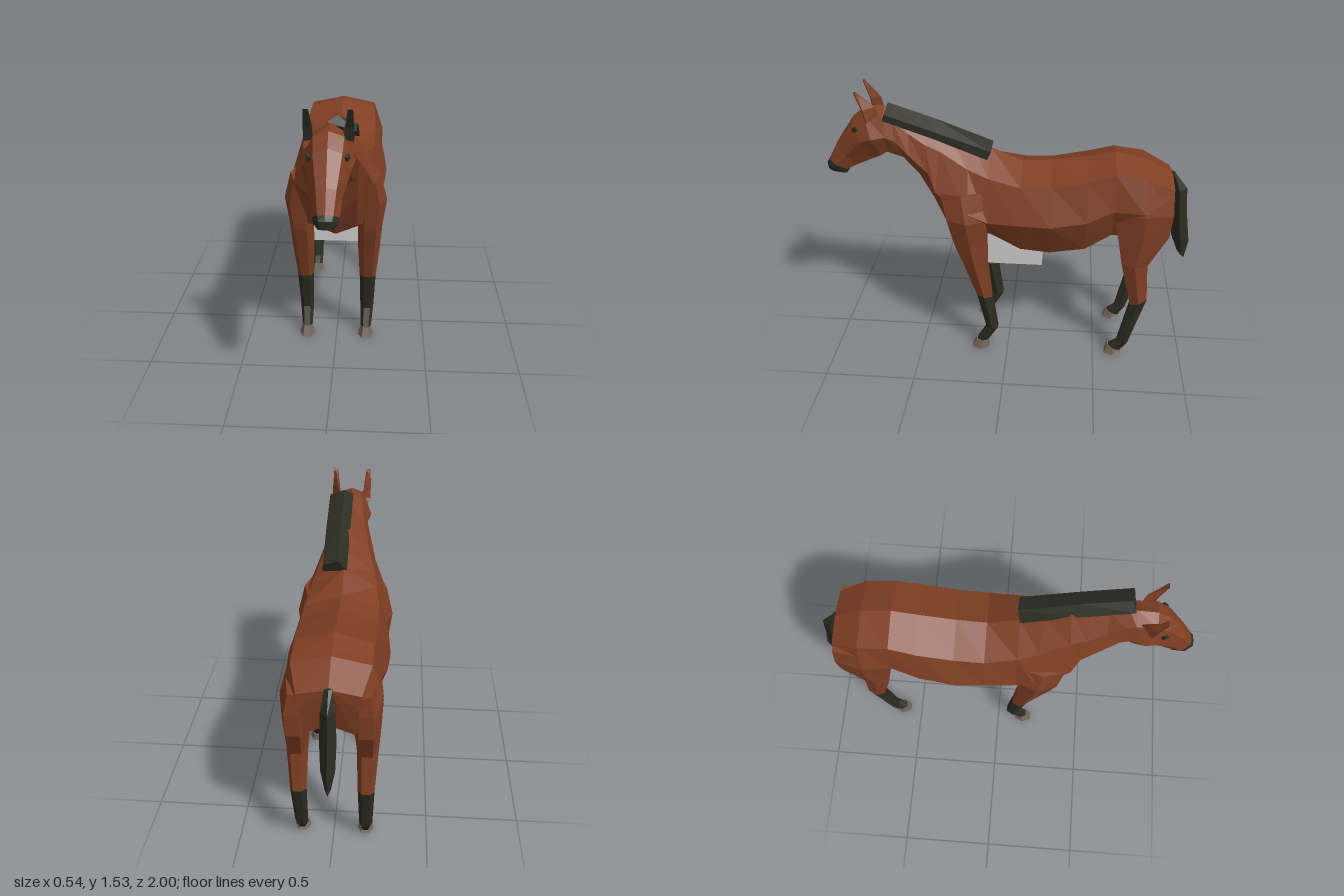
import * as THREE from 'three';

const mat = (name, color) => {
  const m = new THREE.MeshStandardMaterial({ color });
  m.name = name;
  return m;
};

// Faceted closed skin over rings of [x, y, z] points (clockwise seen from the last ring's side)
function loft(rings) {
  const n = rings[0].length, pos = [];
  const tri = (a, b, c) => pos.push(...a, ...b, ...c);
  for (let i = 0; i < rings.length - 1; i++) {
    for (let j = 0; j < n; j++) {
      const k = (j + 1) % n;
      const a = rings[i][j], b = rings[i][k], c = rings[i + 1][j], d = rings[i + 1][k];
      tri(a, c, b);
      tri(b, c, d);
    }
  }
  const first = rings[0], last = rings[rings.length - 1];
  for (let j = 1; j < n - 1; j++) {
    tri(first[0], first[j], first[j + 1]);
    tri(last[0], last[j + 1], last[j]);
  }
  const g = new THREE.BufferGeometry();
  g.setAttribute('position', new THREE.Float32BufferAttribute(pos, 3));
  g.computeVertexNormals();
  return g;
}

// Full ring from a half section running from top centre to bottom centre
const whole = half => [...half, ...half.slice(1, -1).reverse().map(([x, y, z]) => [-x, y, z])];
// Mirror rings across x = 0, keeping the winding
const side = (rings, s) => s > 0 ? rings : rings.map(r => r.map(([x, y, z]) => [-x, y, z]).reverse());
// Six-sided leg ring: height, inner x, outer x, back z, front z, tilt
const legRing = ([y, xi, xo, zb, zf, t = 0]) => {
  const c = (xi + xo) / 2, h = (xo - xi) / 2, zm = (zb + zf) / 2;
  return [[xo, y, zm], [c + h * 0.5, y + t, zb], [c - h * 0.5, y + t, zb],
    [xi, y, zm], [c - h * 0.5, y - t, zf], [c + h * 0.5, y - t, zf]];
};

export function createModel() {
  const coat = mat('chestnut coat', 0x803f24);
  const dark = mat('dark hair', 0x2b2c21);
  const horn = mat('hoof horn', 0x74675a);
  const grey = mat('light grey', 0xcccccc);
  const model = new THREE.Group();
  model.name = 'horse';
  const add = (name, geometry, material, parent = model) => {
    const m = new THREE.Mesh(geometry, material);
    m.name = name;
    parent.add(m);
    return m;
  };

  // Torso sections at constant z: z, top y, back x/y, flank x/y, lower x/y, bottom y
  const torso = [
    [-0.72, 1.18, 0.19, 1.14, 0.245, 0.97, 0.19, 0.80, 0.78],
    [-0.56, 1.21, 0.19, 1.16, 0.23, 0.97, 0.17, 0.80, 0.755],
    [-0.42, 1.18, 0.20, 1.12, 0.255, 0.91, 0.18, 0.71, 0.67],
    [-0.23, 1.15, 0.20, 1.08, 0.27, 0.88, 0.17, 0.67, 0.61],
    [-0.07, 1.14, 0.20, 1.075, 0.26, 0.88, 0.17, 0.685, 0.62],
    [0.10, 1.21, 0.18, 1.11, 0.245, 0.88, 0.16, 0.77, 0.65],
  ].map(([z, t, bx, by, fx, fy, lx, ly, b]) =>
    [[0, t, z], [bx, by, z], [fx, fy, z], [lx, ly, z], [0, b, z]]);
  const rump = [[0, 1.10, -0.87], [0.15, 1.07, -0.87], [0.18, 0.95, -0.865], [0.12, 0.83, -0.84], [0, 0.86, -0.82]];
  // Chest and neck
  const neck = [
    [[0, 1.26, 0.21], [0.16, 1.15, 0.21], [0.255, 0.93, 0.20], [0.17, 0.75, 0.24], [0, 0.68, 0.24]],
    [[0, 1.33, 0.35], [0.12, 1.23, 0.36], [0.20, 1.03, 0.38], [0.12, 0.77, 0.32], [0, 0.71, 0.29]],
    [[0, 1.36, 0.44], [0.11, 1.26, 0.44], [0.16, 1.12, 0.42], [0.12, 0.96, 0.40], [0, 0.83, 0.39]],
    [[0, 1.39, 0.53], [0.085, 1.31, 0.53], [0.13, 1.20, 0.52], [0.10, 1.08, 0.47], [0, 0.99, 0.43]],
    [[0, 1.425, 0.62], [0.07, 1.37, 0.61], [0.105, 1.27, 0.60], [0.08, 1.17, 0.56], [0, 1.12, 0.52]],
  ];
  // Head from poll to nose
  const lip = [[0, 1.125, 0.985], [0.035, 1.12, 0.98], [0.06, 1.095, 0.94], [0.045, 1.07, 0.89], [0, 1.07, 0.88]];
  const head = [
    [[0, 1.43, 0.66], [0.07, 1.39, 0.66], [0.105, 1.29, 0.65], [0.07, 1.195, 0.65], [0, 1.19, 0.65]],
    [[0, 1.425, 0.76], [0.07, 1.40, 0.76], [0.12, 1.28, 0.72], [0.07, 1.17, 0.69], [0, 1.165, 0.69]],
    [[0, 1.37, 0.83], [0.065, 1.345, 0.83], [0.105, 1.26, 0.78], [0.06, 1.15, 0.73], [0, 1.145, 0.73]],
    [[0, 1.225, 0.93], [0.045, 1.215, 0.925], [0.068, 1.16, 0.88], [0.045, 1.10, 0.83], [0, 1.10, 0.83]],
    lip,
  ];
  add('body', loft([rump, ...torso, ...neck, ...head].map(whole)), coat);
  add('muzzle', loft([lip,
    [[0, 1.10, 1.0], [0.03, 1.10, 0.998], [0.055, 1.075, 0.96], [0.04, 1.045, 0.895], [0, 1.045, 0.89]],
    [[0, 1.06, 1.0], [0.025, 1.06, 0.995], [0.035, 1.05, 0.97], [0.03, 1.04, 0.92], [0, 1.04, 0.91]],
  ].map(whole)), dark);

  // Mane falling to the left of the neck
  add('mane', loft([
    [[0.03, 1.262, 0.085], [0.115, 1.235, 0.09], [0.12, 1.19, 0.11], [-0.015, 1.20, 0.10]],
    [[0.035, 1.38, 0.39], [0.12, 1.34, 0.39], [0.12, 1.30, 0.39], [-0.015, 1.33, 0.39]],
    [[0.035, 1.46, 0.63], [0.12, 1.425, 0.64], [0.12, 1.39, 0.65], [-0.015, 1.43, 0.65]],
  ]), dark);

  // Tail: diamond sections of y, z back, z front, half width
  add('tail', loft([
    [1.105, -0.88, -0.86, 0.02, 0], [1.01, -0.955, -0.87, 0.035, 0], [0.85, -0.972, -0.88, 0.04, 0],
    [0.70, -1.0, -0.90, 0.035, 0.02], [0.595, -0.985, -0.94, 0.015, 0.025],
  ].map(([y, zb, zf, w, t]) => {
    const zm = (zb + zf) / 2;
    return [[w, y, zm], [0, y - t, zb], [-w, y, zm], [0, y + t, zf]];
  })), dark);

  // Block under the belly
  add('bellyBlock', new THREE.BoxGeometry(0.31, 0.27, 0.30), grey).position.set(0, 0.71, -0.04);

  // Leg sections split by colour; neighbouring pieces share a ring
  const legs = {
    front: {
      upper: [[1.03, 0.12, 0.235, 0.13, 0.35], [0.88, 0.12, 0.272, 0.11, 0.32], [0.72, 0.12, 0.25, 0.11, 0.285],
        [0.58, 0.12, 0.24, 0.11, 0.235], [0.375, 0.13, 0.22, 0.087, 0.17, -0.005]],
      lower: [[0.375, 0.13, 0.22, 0.087, 0.17, -0.005], [0.15, 0.135, 0.21, 0.055, 0.12], [0.05, 0.14, 0.198, 0.115, 0.178]],
      hoof: [[0.05, 0.138, 0.2, 0.112, 0.182, -0.005], [0, 0.125, 0.213, 0.11, 0.205]],
    },
    hind: {
      upper: [[1.06, 0.1, 0.215, -0.865, -0.56], [0.95, 0.1, 0.245, -0.87, -0.565], [0.82, 0.1, 0.24, -0.86, -0.59],
        [0.63, 0.12, 0.23, -0.763, -0.625], [0.38, 0.13, 0.215, -0.78, -0.69, 0.02]],
      lower: [[0.38, 0.13, 0.215, -0.78, -0.69, 0.02], [0.09, 0.137, 0.207, -0.697, -0.635], [0.04, 0.14, 0.2, -0.655, -0.585, -0.015]],
      hoof: [[0.045, 0.138, 0.202, -0.65, -0.583, -0.017], [0.008, 0.127, 0.213, -0.662, -0.567]],
    },
  };
  const legColours = { upper: coat, lower: dark, hoof: horn };

  for (const s of [1, -1]) {
    const label = s > 0 ? 'left' : 'right';
    for (const [end, pieces] of Object.entries(legs)) {
      const leg = new THREE.Group();
      leg.name = `${label} ${end} leg`;
      model.add(leg);
      for (const [piece, rings] of Object.entries(pieces)) {
        add(`${label} ${end} ${piece}`, loft(side(rings.map(legRing), s)), legColours[piece], leg);
      }
    }
    // Ear shell with a dark inner face
    const base = [[0.112, 1.37, 0.735], [0.07, 1.38, 0.74], [0.06, 1.40, 0.68]];
    const mid = [[0.113, 1.44, 0.75], [0.072, 1.44, 0.75], [0.075, 1.45, 0.695]];
    const tip = [[0.108, 1.53, 0.785], [0.085, 1.53, 0.785], [0.095, 1.515, 0.77]];
    add(`${label} ear`, loft(side([base, mid, tip], s)), coat);
    const lining = [base, mid, tip].map(([a, b]) =>
      [[a[0], a[1], a[2] + 0.004], [b[0], b[1], b[2] + 0.004], b, a]);
    add(`${label} ear lining`, loft(side(lining, s)), dark);
    // Eye
    const eye = add(`${label} eye`, new THREE.BoxGeometry(0.016, 0.024, 0.026), dark);
    eye.position.set(s * 0.085, 1.322, 0.808);
    eye.rotation.set(0.5, s * -0.4, 0);
  }
  return model;
}
